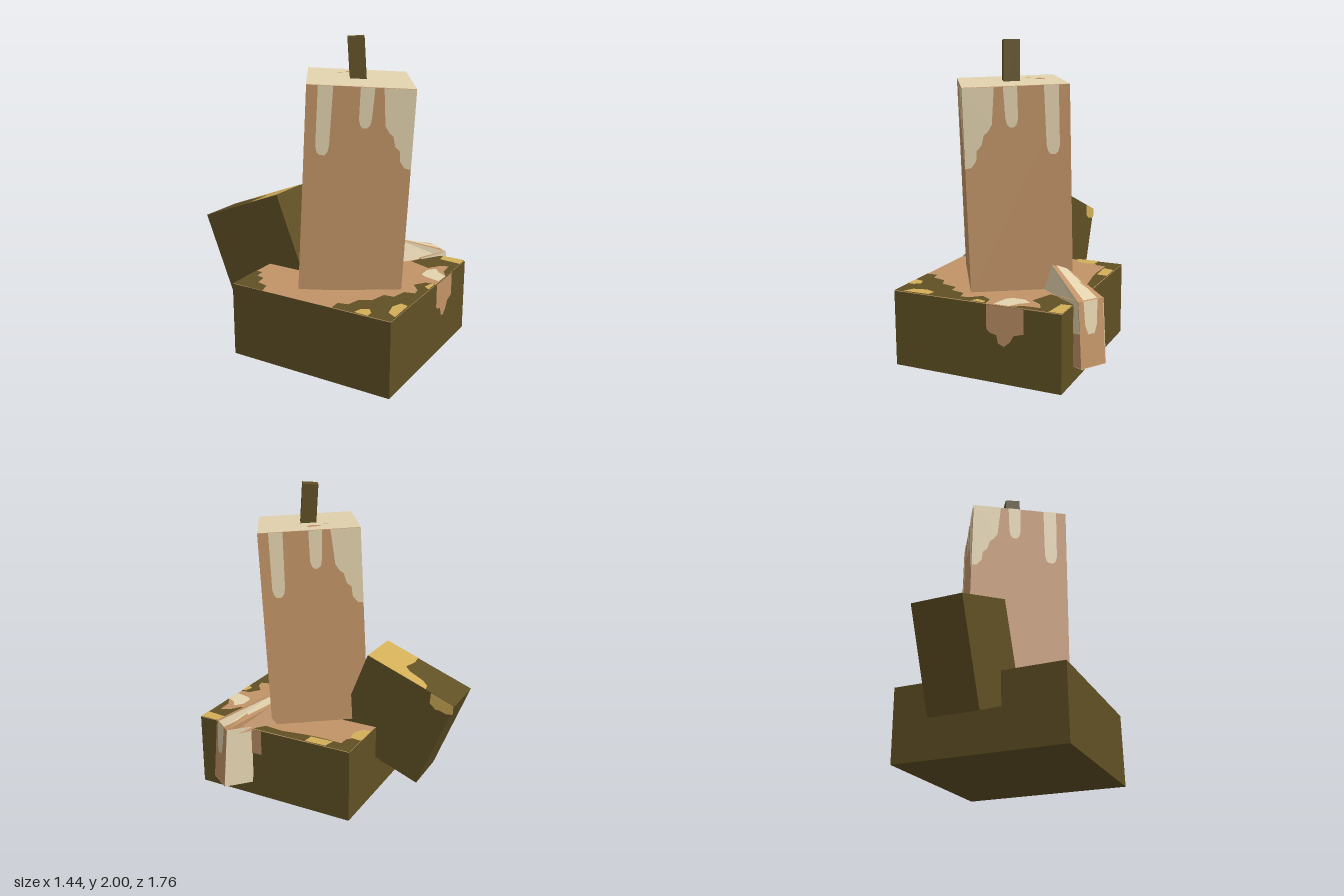
import * as THREE from 'three';

const mat = (name, color, side = THREE.FrontSide) => {
  const m = new THREE.MeshStandardMaterial({ color, side });
  m.name = name;
  return m;
};

export function createModel() {
  const model = new THREE.Group();
  const olive = mat('olive', 0x605024);
  const tan = mat('tan wax', 0xc29468);
  const cream = mat('cream wax', 0xe3d3ae);
  const gold = mat('gold', 0xd2ae58);

  const group = (name, parent = model) => {
    const g = new THREE.Group();
    g.name = name;
    parent.add(g);
    return g;
  };
  const box = (parent, name, m, [w, h, d], [x, y, z]) => {
    const mesh = new THREE.Mesh(new THREE.BoxGeometry(w, h, d), m);
    mesh.name = name;
    mesh.position.set(x, y, z);
    parent.add(mesh);
    return mesh;
  };
  // Flat painted patch in its own xy plane, facing +z
  const patch = (parent, name, m, pts, sx = 1) => {
    const shape = new THREE.Shape(pts.map(([x, y]) => new THREE.Vector2(x * sx, y)));
    const mesh = new THREE.Mesh(new THREE.ShapeGeometry(shape), m);
    mesh.name = name;
    parent.add(mesh);
    return mesh;
  };
  // Flat painted patch facing up, points given as x, z
  const floorPatch = (parent, name, m, pts, y) => {
    const mesh = patch(parent, name, m, pts.map(([x, z]) => [x, -z]));
    mesh.rotation.x = -Math.PI / 2;
    mesh.position.y = y;
    return mesh;
  };
  const rect = (x0, x1, y0, y1) => [[x0, y0], [x1, y0], [x1, y1], [x0, y1]];
  const YAW = 0.236;

  // Square holder base
  const base = group('base');
  base.position.set(-0.05, 0, 0.205);
  base.rotation.y = YAW;
  box(base, 'baseBlock', olive, [1.11, 0.48, 1.11], [0, 0.24, 0]);
  patch(base, 'frontWaxRun', tan, [[0.08, 0.481], [0.08, 0.33], [0.1, 0.31], [0.145, 0.3], [0.155, 0.25],
    [0.195, 0.235], [0.235, 0.27], [0.255, 0.31], [0.32, 0.33], [0.32, 0.481]]).position.z = 0.558;
  const sideRun = patch(base, 'sideWaxRun', tan, [[-0.35, 0.48], [-0.35, 0.33], [-0.26, 0.28], [-0.18, 0.28],
    [-0.14, 0.31], [-0.08, 0.31], [-0.08, 0.48]]);
  sideRun.rotation.y = Math.PI / 2;
  sideRun.position.x = 0.558;

  // Spilled wax and worn paint on the base top
  const top = group('baseTop');
  floorPatch(top, 'waxPool', tan, [[-0.72, -0.2], [0.36, -0.465], [0.62, 0.61], [-0.46, 0.875]], 0.482);
  [
    [[-0.72, -0.2], [-0.48, -0.26], [-0.47, -0.21], [-0.53, -0.19], [-0.53, -0.13], [-0.6, -0.1], [-0.6, -0.02], [-0.67, 0.02]],
    [[-0.55, 0.5], [-0.48, 0.48], [-0.45, 0.54], [-0.36, 0.54], [-0.31, 0.6], [-0.2, 0.6], [-0.18, 0.66], [-0.08, 0.66],
      [-0.05, 0.72], [0, 0.7], [0.05, 0.63], [0.13, 0.66], [0.15, 0.725], [-0.46, 0.875]],
    [[0.36, 0.36], [0.57, 0.4], [0.62, 0.61], [0.3, 0.69], [0.36, 0.63], [0.46, 0.6], [0.42, 0.55], [0.34, 0.52]],
    [[0.36, -0.465], [0.18, -0.42], [0.19, -0.37], [0.24, -0.34], [0.3, -0.35], [0.33, -0.2], [0.36, -0.1],
      [0.42, 0.05], [0.44, 0.2], [0.52, 0.21]],
  ].forEach((p) => floorPatch(top, 'barePaint', olive, p, 0.485));
  [
    [[0.05, -0.39], [0.2, -0.425], [0.21, -0.35], [0.14, -0.32], [0.07, -0.34]],
    [[0.32, -0.3], [0.395, -0.3], [0.43, -0.16], [0.36, -0.15]],
    [[-0.4, 0.855], [-0.38, 0.79], [-0.3, 0.75], [-0.23, 0.76], [-0.23, 0.81]],
    [[-0.51, 0.64], [-0.45, 0.64], [-0.42, 0.68], [-0.45, 0.72], [-0.495, 0.73]],
    [[0.05, 0.745], [0.07, 0.7], [0.13, 0.7], [0.14, 0.725]],
    [[0.52, 0.48], [0.585, 0.46], [0.62, 0.61], [0.54, 0.63]],
  ].forEach((p) => floorPatch(top, 'goldSpot', gold, p, 0.488));
  floorPatch(top, 'creamSpot', cream,
    [[0.2, 0.71], [0.2, 0.6], [0.22, 0.56], [0.3, 0.54], [0.36, 0.57], [0.32, 0.62], [0.3, 0.69]], 0.488);

  // Tilted block handle at the back
  const handle = group('handle');
  handle.position.set(-0.204, 0.56, -0.444);
  handle.rotation.set(-0.371, YAW, 0, 'YXZ');
  box(handle, 'handleBlock', olive, [0.315, 0.635, 0.635], [0, 0, 0]);
  floorPatch(handle, 'handleGoldTop', gold, [[-0.157, 0.317], [-0.157, 0.08], [-0.08, 0.07], [0.03, 0.09], [0.06, 0.05],
    [0.08, -0.06], [0.11, -0.1], [0.157, -0.11], [0.157, 0.317]], 0.32);
  const handleSide = patch(handle, 'handleGoldSide', gold, [[-0.25, 0.317], [-0.27, 0.26], [-0.23, 0.24], [-0.19, 0.24],
    [-0.16, 0.23], [-0.11, 0.25], [-0.09, 0.317]], -1);
  handleSide.rotation.y = Math.PI / 2;
  handleSide.position.set(0.16, 0, -0.06);

  // Leaning square candle, origin at the centre of its top
  const S = 0.633, H = 1.267;
  const candle = group('candle');
  candle.position.set(-0.043, 1.75, 0.24);
  candle.rotation.set(0.056, 0, -0.012);
  box(candle, 'candleBody', tan, [S, H, S], [0, -H / 2, 0]).rotation.y = Math.PI / 4;
  const h = S / 2;
  floorPatch(candle, 'meltedTop', cream, rect(-h, h, -h, h), 0.002).rotation.z = Math.PI / 4;
  [[0.008, -0.17, 0.018, 0.016], [0.11, -0.16, 0.048, 0.03]].forEach(([x, z, a, b]) => {
    const spot = new THREE.Mesh(new THREE.CircleGeometry(1, 14), tan);
    spot.name = 'topSpot';
    spot.scale.set(a, b, 1);
    spot.rotation.set(-Math.PI / 2, 0, -0.6);
    spot.position.set(x, 0.005, z);
    candle.add(spot);
  });

  // Rounded wax drips on each side, mirrored about the front and back corners
  const drip = (x0, x1, len) => [[x0, 0], [x0, -len + 0.05], [x0 + 0.01, -len + 0.015], [x0 + 0.025, -len],
    [x1 - 0.025, -len], [x1 - 0.008, -len + 0.02], [x1, -len + 0.06], [x1 + 0.008, 0]];
  const corner = [[0.13, 0], [0.15, -0.22], [0.175, -0.26], [0.2, -0.28], [0.215, -0.34], [0.245, -0.37],
    [0.25, -0.43], [0.28, -0.47], [h, -0.475], [h, 0]];
  for (let i = 0; i < 4; i++) {
    const face = group('candleSide', candle);
    face.rotation.y = Math.PI / 4 + i * Math.PI / 2;
    [drip(-0.25, -0.17, 0.41), drip(-0.005, 0.07, 0.24), corner].forEach((p) => {
      patch(face, 'waxDrip', cream, p, i % 2 ? 1 : -1).position.z = h + 0.003;
    });
  }

  // Wick
  const wick = box(model, 'wick', olive, [0.1, 0.3, 0.1], [-0.049, 1.851, 0.227]);
  wick.rotation.set(-0.055, Math.PI / 4, 0.03, 'XZY');

  // Wax spill: sloping wedge from the candle to the base edge
  const spill = group('waxSpill');
  const facet = (name, m, pts) => {
    const g = new THREE.BufferGeometry().setFromPoints(pts.map((p) => new THREE.Vector3(...p)));
    g.setIndex(pts.length === 4 ? [0, 1, 2, 0, 2, 3] : [0, 1, 2]);
    const flat = g.toNonIndexed();
    flat.computeVertexNormals();
    const mesh = new THREE.Mesh(flat, m);
    mesh.name = name;
    spill.add(mesh);
  };
  const A = [0.3, 0.64, 0.27], B = [0.38, 0.6, 0.19], C = [0.62, 0.51, 0.45], D = [0.685, 0.51, 0.285];
  const lowA = [0.26, 0.47, 0.3], lowB = [0.36, 0.47, 0.14], lowC = [0.6, 0.47, 0.44], lowD = [0.67, 0.47, 0.28];
  const mix = (p, q, t, up = 0) => p.map((v, i) => v + (q[i] - v) * t + (i === 1 ? up : 0));
  facet('spillTop', tan, [A, C, D, B]);
  facet('spillStreak', cream, [mix(A, B, 0.25, 0.006), mix(C, D, 0.2, 0.006), mix(C, D, 0.75, 0.006), mix(A, B, 0.85, 0.006)]);
  facet('spillFront', cream, [A, lowA, lowC, C]);
  facet('spillBack', tan, [B, D, lowD, lowB]);
  facet('spillInner', tan, [A, B, lowB, lowA]);
  facet('spillUnder', tan, [lowA, lowB, lowD, lowC]);

  // Wax lump hanging over the base edge
  const hang = group('hangingWax');
  hang.position.set(0.6525, 0.51, 0.3675);
  hang.rotation.set(-0.085, 1.212, 0, 'YXZ');
  box(hang, 'hangingBlock', tan, [0.177, 0.4, 0.2], [0, -0.2, -0.1]);
  box(hang, 'hangingCreamSide', cream, [0.004, 0.4, 0.2], [0.09, -0.2, -0.1]);
  box(hang, 'hangingCreamBottom', cream, [0.177, 0.004, 0.2], [0, -0.401, -0.1]);
  patch(hang, 'hangingDrip', cream, [[-0.055, 0], [-0.05, -0.14], [-0.03, -0.2], [0.015, -0.2], [0.035, -0.15], [0.045, 0]]).position.z = 0.003;
  const inner = patch(hang, 'hangingSideDrip', cream, [[-0.2, 0], [-0.2, -0.15], [-0.1, -0.2], [0, -0.19], [0, 0]]);
  inner.rotation.y = -Math.PI / 2;
  inner.position.x = -0.0915;

  return model;
}
